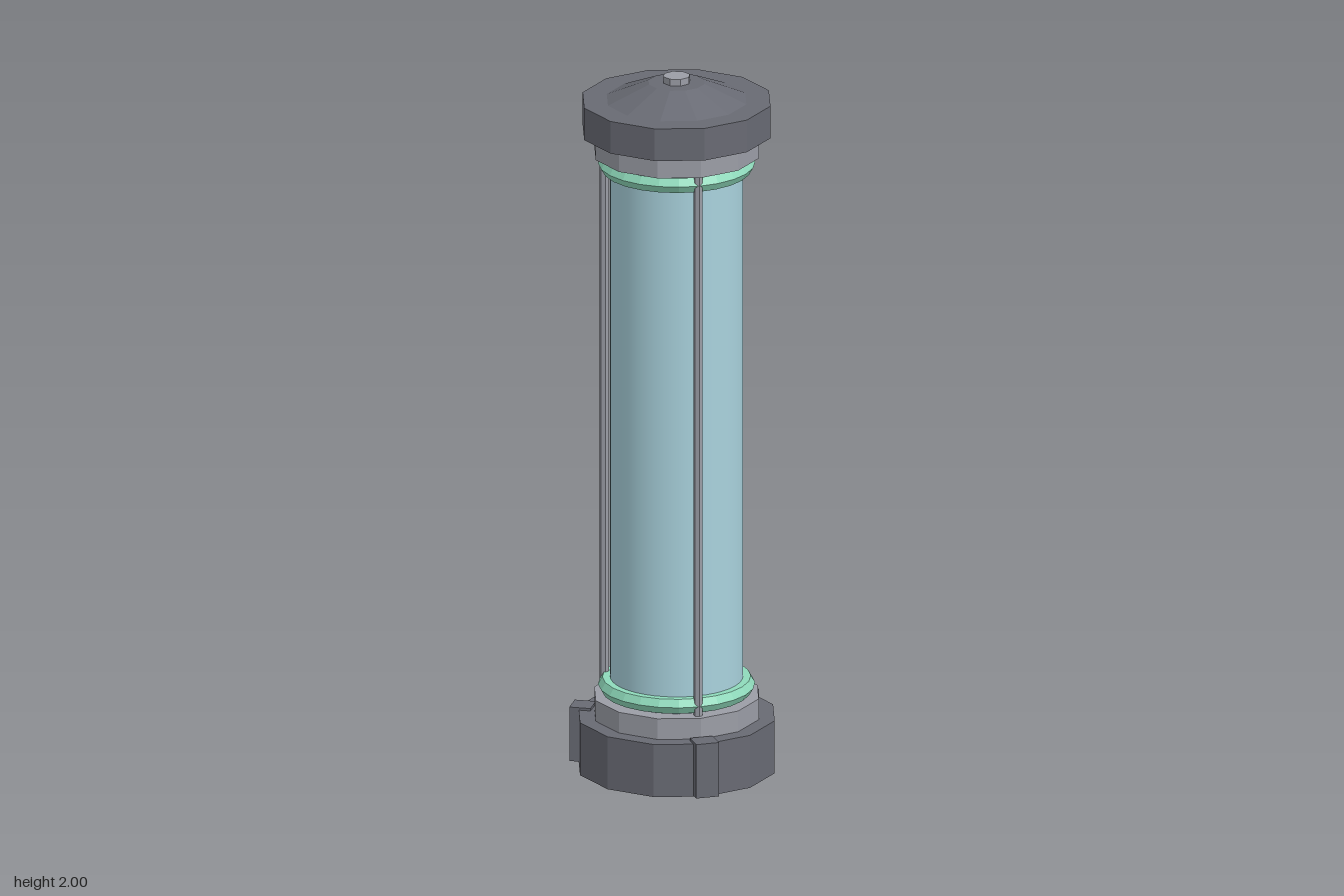
import * as THREE from 'three';

const AXIS_Z = -0.01; // the column sits slightly behind centre because of the front lug

export function createModel() {
  const model = new THREE.Group();
  model.name = 'glassColumn';

  const paint = (name, color, flatShading = true) => {
    const m = new THREE.MeshStandardMaterial({ color, flatShading });
    m.name = name;
    return m;
  };
  const darkMetal = paint('darkMetal', 0x686a73);
  const lightMetal = paint('lightMetal', 0x9b9da6);
  const glass = paint('paleBlueGlass', 0xa9d2dd, false);
  const green = paint('mintGreen', 0x8fdabb);

  const add = (name, geometry, material, parent = model) => {
    const mesh = new THREE.Mesh(geometry, material);
    mesh.name = name;
    parent.add(mesh);
    return mesh;
  };
  // Upright drum between two heights
  const drum = (name, material, y0, y1, rBottom, rTop, sides) => {
    const g = new THREE.CylinderGeometry(rTop, rBottom, y1 - y0, sides);
    g.translate(0, (y0 + y1) / 2, 0);
    return add(name, g, material);
  };

  // Base, collars and cap
  drum('base', darkMetal, 0, 0.152, 0.277, 0.277, 12);
  drum('lowerCollar', lightMetal, 0.152, 0.212, 0.232, 0.232, 12);
  drum('upperCollar', lightMetal, 1.777, 1.838, 0.232, 0.232, 12);
  drum('cap', darkMetal, 1.838, 1.931, 0.265, 0.265, 12);
  drum('capDome', darkMetal, 1.931, 1.981, 0.197, 0.079, 12);
  drum('capKnob', lightMetal, 1.981, 2.0, 0.038, 0.038, 8);

  // Glass tube
  drum('glassTube', glass, 0.212, 1.777, 0.183, 0.183, 40);

  // Seal rings at both ends of the tube
  for (const [name, y] of [['lowerRing', 0.24], ['upperRing', 1.748]]) {
    const g = new THREE.TorusGeometry(0.192, 0.024, 6, 24);
    g.rotateX(Math.PI / 2);
    g.translate(0, y, 0);
    add(name, g, green);
  }

  // Three rods, each above a lug on the base
  for (let i = 0; i < 3; i++) {
    const arm = new THREE.Group();
    arm.name = 'rodAndLug' + (i + 1);
    arm.rotation.y = (i * Math.PI * 2) / 3;
    const rod = new THREE.CylinderGeometry(0.013, 0.013, 1.565, 6);
    rod.translate(0, 0.9945, 0.204);
    add('rod', rod, lightMetal, arm);
    const lug = new THREE.BoxGeometry(0.066, 0.156, 0.06);
    lug.translate(0, 0.081, 0.265);
    add('lug', lug, darkMetal, arm);
    model.add(arm);
  }

  for (const part of model.children) part.position.z = AXIS_Z;
  return model;
}
